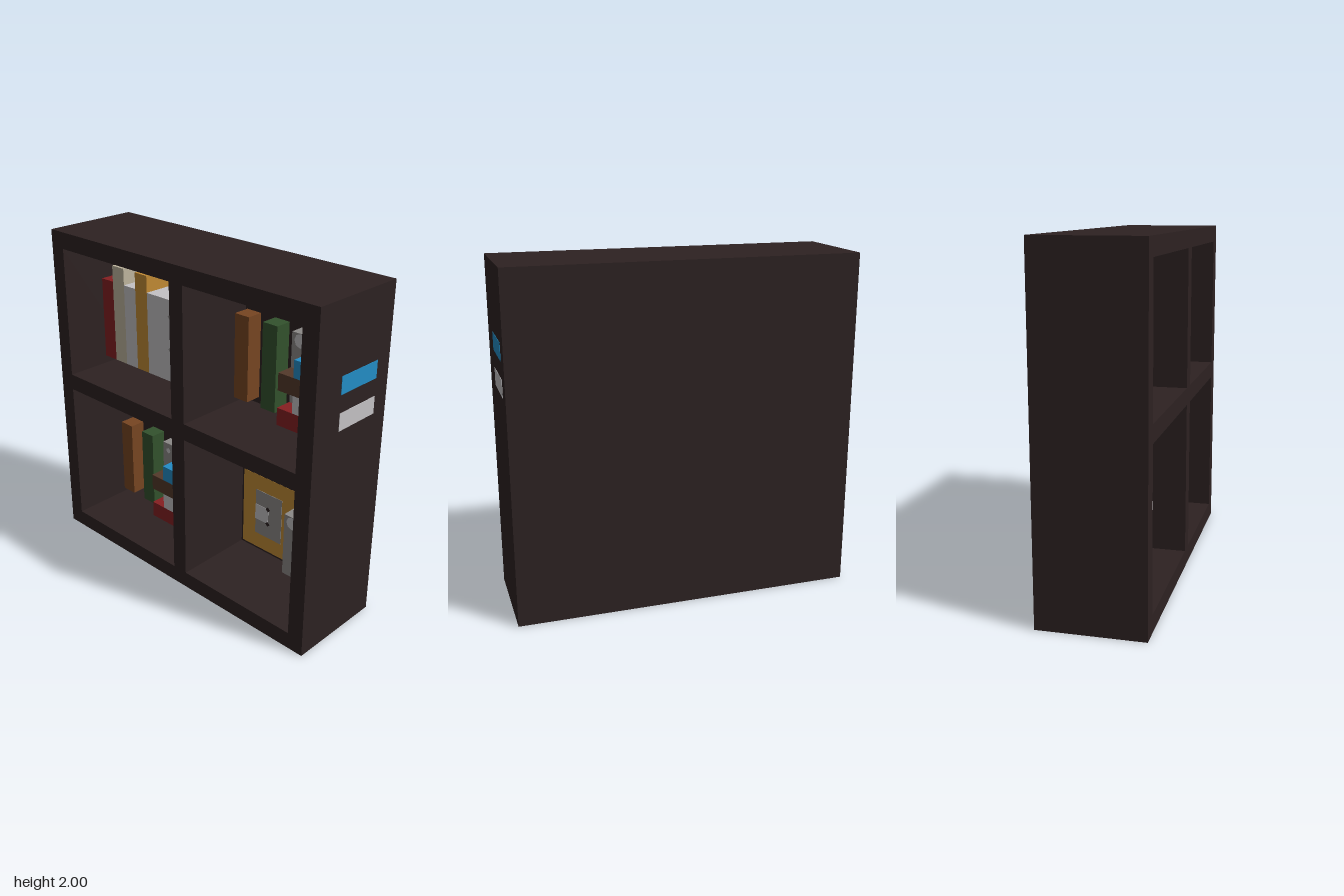
import * as THREE from 'three';

const material = (name, color, side = THREE.FrontSide) => {
  const m = new THREE.MeshStandardMaterial({ color, side });
  m.name = name;
  return m;
};

export function createModel() {
  const model = new THREE.Group();
  model.name = 'bookshelf';

  const wood = material('dark wood', 0x2d2222, THREE.DoubleSide);
  const red = material('red', 0x861f22);
  const cream = material('cream', 0xbfb59e);
  const orange = material('orange', 0xc18a34);
  const brown = material('brown', 0x774522);
  const green = material('green', 0x33522d);
  const blue = material('blue', 0x238dc6);
  const umber = material('umber', 0x53392a);
  const gray = material('gray', 0x8c8987);
  const white = material('white', 0xc4c2c5);

  const add = (name, geometry, mat, parent = model) => {
    const mesh = new THREE.Mesh(geometry, mat);
    mesh.name = name;
    parent.add(mesh);
    return mesh;
  };

  // Solid block given by its limits on each axis
  const block = (name, mat, [x0, x1], [y0, y1], [z0, z1], parent) =>
    add(name, new THREE.BoxGeometry(x1 - x0, y1 - y0, z1 - z0), mat, parent)
      .position.set((x0 + x1) / 2, (y0 + y1) / 2, (z0 + z1) / 2);

  // Box shell with some faces left out (0 +x, 1 -x, 2 +y, 3 -y, 4 +z, 5 -z)
  const shell = (name, [x0, x1], [y0, y1], [z0, z1], open) => {
    const g = new THREE.BoxGeometry(x1 - x0, y1 - y0, z1 - z0);
    const index = Array.from(g.index.array).filter((_, i) => !open.includes(Math.floor(i / 6)));
    g.setIndex(index);
    g.clearGroups();
    g.translate((x0 + x1) / 2, (y0 + y1) / 2, (z0 + z1) / 2);
    add(name, g, wood);
  };

  // Flat painted spot with a few sides
  const spot = (name, mat, x, y, z, r, sides, parent) =>
    add(name, new THREE.CircleGeometry(r, sides), mat, parent).position.set(x, y, z + 0.003);

  // Cabinet: outer walls, hollow underneath, and four recessed cells
  shell('outerWalls', [-1, 1], [0, 2], [-0.3, 0.3], [3, 4]);
  const rect = (path, x0, x1, y0, y1) =>
    path.moveTo(x0, y0).lineTo(x1, y0).lineTo(x1, y1).lineTo(x0, y1).closePath();
  const front = rect(new THREE.Shape(), -1, 1, 0, 2);
  for (const [x0, x1] of [[-0.9, 0], [0.1, 0.9]]) {
    for (const [y0, y1] of [[0.1, 1], [1.1, 1.9]]) {
      front.holes.push(rect(new THREE.Path(), x0, x1, y0, y1));
      shell('cell', [x0, x1], [y0, y1], [-0.2, 0.3], [4]);
    }
  }
  add('frontFrame', new THREE.ShapeGeometry(front), wood).position.z = 0.3;

  // Row of large upright books
  const deep = [-0.195, 0.1], slim = [-0.1, 0];
  const row = new THREE.Group();
  row.name = 'bookRow';
  model.add(row);
  [
    [red, -0.8, -0.7, 1.7], [cream, -0.7, -0.6, 1.8], [white, -0.6, -0.5, 1.7],
    [orange, -0.5, -0.4, 1.8], [white, -0.4, -0.1, 1.7],
  ].forEach(([mat, x0, x1, top]) => block('largeBook', mat, [x0, x1], [1.2, top], deep, row));
  for (const y of [1.4, 1.6]) spot('coverSpot', gray, -0.2, y, 0.1, 0.025, 4, row);

  // Two matching sets: standing books beside a lying stack
  for (const [dx, dy] of [[0, 0], [1, 1]]) {
    const set = new THREE.Group();
    set.name = 'bookSet';
    set.position.set(dx, dy, 0);
    model.add(set);
    block('brownBook', brown, [-0.8, -0.7], [0.2, 0.7], slim, set);
    block('greenBook', green, [-0.6, -0.5], [0.2, 0.7], slim, set);
    block('grayBook', gray, [-0.4, -0.3], [0.2, 0.7], slim, set);
    block('stackBook', red, [-0.4, -0.1], [0.2, 0.3], deep, set);
    block('stackBook', umber, [-0.4, -0.1], [0.4, 0.5], deep, set);
    // These two reach through the side wall
    block('stackBook', white, [-0.3, 0.002], [0.3, 0.4], deep, set);
    block('stackBook', blue, [-0.3, 0.002], [0.5, 0.6], deep, set);
    if (dx) spot('paleSpot', white, -0.342, 0.66, 0, 0.04, 8, set);
    else spot('paleSpot', white, -0.352, 0.652, 0, 0.018, 8, set);
  }

  // Framed picture
  const picture = new THREE.Group();
  picture.name = 'framedPicture';
  model.add(picture);
  block('pictureFrame', orange, [0.2, 0.6], [0.2, 0.7], [-0.195, -0.1], picture);
  block('pictureField', gray, [0.3, 0.5], [0.3, 0.6], [-0.101, -0.097], picture);
  block('pictureSquare', white, [0.3, 0.4], [0.4, 0.5], [-0.101, -0.094], picture);
  for (const y of [0.4, 0.5]) spot('pictureDot', wood, 0.4, y, -0.094, 0.017, 4, picture);

  // Small gray books with pale tops on their spines
  for (const x of [0.6, 0.8]) {
    block('smallGrayBook', gray, [x, x + 0.1], [0.2, 0.6], slim);
    spot('paleSpot', white, x + 0.058, 0.56, 0, 0.04, 8);
  }

  return model;
}
